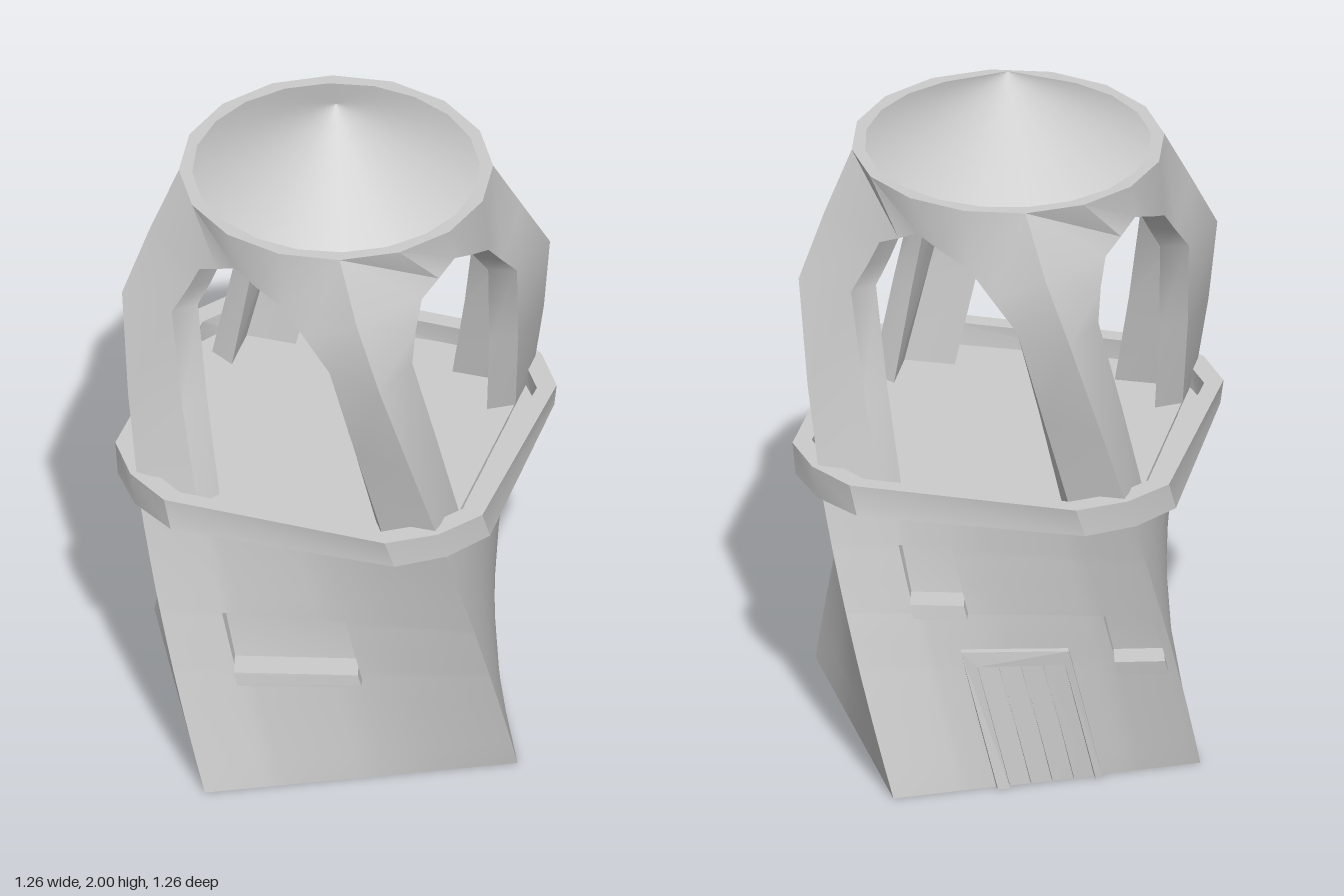
import * as THREE from 'three';
import { toCreasedNormals } from 'three/addons/utils/BufferGeometryUtils.js';

const H = 0.44;            // half width of the square tower
const DEG = Math.PI / 180;
const FLOOR = 0.87, SPRING = 1.44, TOP = 1.78;
const material = new THREE.MeshStandardMaterial({ color: 0xcccccc });

// Turns every vertex about the y axis by an amount that grows with height.
function twist(geo, side = 0) {
  geo.rotateY(side * Math.PI / 2);
  const p = geo.attributes.position;
  const v = new THREE.Vector3(), up = new THREE.Vector3(0, 1, 0);
  for (let i = 0; i < p.count; i++) {
    v.fromBufferAttribute(p, i);
    v.applyAxisAngle(up, (-29.6 - 29.7 * v.y) * DEG);
    p.setXYZ(i, v.x, v.y, v.z);
  }
  geo.computeVertexNormals();
  return geo;
}

function add(group, name, geo) {
  const mesh = new THREE.Mesh(geo, material);
  mesh.name = name;
  group.add(mesh);
}

function indexed(pos, idx) {
  const geo = new THREE.BufferGeometry();
  geo.setAttribute('position', new THREE.Float32BufferAttribute(pos, 3));
  geo.setIndex(idx);
  return geo;
}

// Box given by its limits, on the +z side before turning
function slab(x0, x1, y0, y1, z0, z1) {
  return new THREE.BoxGeometry(x1 - x0, y1 - y0, z1 - z0, 1, 4, 1)
    .translate((x0 + x1) / 2, (y0 + y1) / 2, (z0 + z1) / 2);
}

// One lower wall: a grid that leaves out the cells inside window openings
function wallGeometry(windows) {
  const height = 0.88;
  const xs = [-H, -H / 2, 0, H / 2, H], ys = [];
  for (let i = 0; i <= 10; i++) ys.push(height * i / 10);
  windows.forEach(([x0, x1, y0, y1]) => { xs.push(x0, x1); ys.push(y0, y1); });
  xs.sort((a, b) => a - b);
  ys.sort((a, b) => a - b);
  const pos = [], idx = [], n = xs.length;
  for (const y of ys) for (const x of xs) pos.push(x, y, H);
  for (let j = 0; j < ys.length - 1; j++) {
    for (let i = 0; i < n - 1; i++) {
      const cx = (xs[i] + xs[i + 1]) / 2, cy = (ys[j] + ys[j + 1]) / 2;
      if (windows.some(([x0, x1, y0, y1]) => cx > x0 && cx < x1 && cy > y0 && cy < y1)) continue;
      const a = j * n + i;
      idx.push(a, a + 1, a + n + 1, a, a + n + 1, a + n);
    }
  }
  return indexed(pos, idx);
}

// Window recess: a box turned inside out with its front left off
function nicheGeometry(x0, x1, y0, y1) {
  const depth = 0.045;
  const geo = new THREE.BoxGeometry(x1 - x0, y1 - y0, depth)
    .translate((x0 + x1) / 2, (y0 + y1) / 2, H - depth / 2);
  const idx = Array.from(geo.index.array);
  idx.splice(24, 6);
  geo.setIndex(idx.reverse());
  return geo;
}

// One side of the open storey, swept along the arch: each section joins a point
// on the outline to one on the arch, and the square blends to a circle on top
function arcadeGeometry() {
  const w = 0.27, mid = (FLOOR + SPRING) / 2;
  const half = [ // outline x, y, arch x, y
    [H, FLOOR, w, FLOOR], [H, mid, w, mid], [H, SPRING, w, SPRING], [H, 1.61, 0.22, 1.525],
    [H, TOP, 0.17, 1.605], [H / 2, TOP, 0.085, 1.64],
  ];
  const sections = [
    ...half.map(([a, b, c, d]) => [-a, b, -c, d]),
    [0, TOP, 0, 1.675],
    ...half.slice().reverse(),
  ];
  const pos = [], idx = [];
  const place = (x, y, depth) => {
    const b = THREE.MathUtils.clamp((y - SPRING) / (TOP - SPRING), 0, 1);
    const taper = 1 - 0.025 * THREE.MathUtils.clamp((y - FLOOR) / (SPRING - FLOOR), 0, 1);
    const a = x / H * Math.PI / 4, k = (H - depth) / H;
    pos.push(
      k * THREE.MathUtils.lerp(x * taper, 0.437 * Math.sin(a), b), y,
      k * THREE.MathUtils.lerp(H * taper, 0.437 * Math.cos(a), b));
  };
  sections.forEach(([ox, oy, ax, ay], i) => {
    place(ox, oy, 0);
    place(ax, ay, 0);
    place(ax, ay, 0.07);
    place(ox, oy, 0.07);
    if (i === 0) return;
    for (let j = 0; j < 4; j++) {
      const p = (i - 1) * 4 + j, q = (i - 1) * 4 + (j + 1) % 4;
      idx.push(p, q, q + 4, p, q + 4, p + 4);
    }
  });
  return indexed(pos, idx).toNonIndexed();
}

// Square with blunted corners, for the balcony
function bluntSquare(scale) {
  const pts = [];
  for (let c = 0; c < 4; c++) {
    for (const off of [-14, 0, 14]) {
      const a = (45 + 90 * c + off) * DEG, r = scale * (off ? 0.628 : 0.638);
      pts.push(new THREE.Vector2(r * Math.cos(a), r * Math.sin(a)));
    }
  }
  return pts;
}

function balconyGeometry(shape, y0, y1) {
  return twist(new THREE.ExtrudeGeometry(shape, { depth: y1 - y0, bevelEnabled: false })
    .rotateX(-Math.PI / 2).translate(0, y0, 0));
}

function addDoor(group, side) {
  const f = new THREE.Shape([[-0.145, 0], [-0.11, 0], [-0.11, 0.375], [0.135, 0.375],
    [0.135, 0], [0.155, 0], [0.155, 0.42], [-0.145, 0.42]].map(([x, y]) => new THREE.Vector2(x, y)));
  const frame = new THREE.ExtrudeGeometry(f, { depth: 0.035, bevelEnabled: false }).translate(0, 0, H - 0.015);
  add(group, 'doorFrame', twist(frame, side));
  for (let i = 0; i < 4; i++) {
    const x = -0.11 + i * 0.06125;
    add(group, 'doorPlank', twist(slab(x + 0.002, x + 0.059, 0.005, 0.375, H - 0.01, H + 0.014), side));
  }
}

export function createModel() {
  const model = new THREE.Group();
  model.name = 'twistedTower';

  // Window openings per side as [x0, x1, y0, y1]
  const windows = [
    [[-0.265, 0.08, 0.375, 0.545]],
    [],
    [[-0.25, -0.1, 0.56, 0.727], [0.275, 0.415, 0.38, 0.525]],
    [],
  ];

  windows.forEach((list, side) => {
    add(model, 'lowerWall', twist(wallGeometry(list), side));
    for (const [x0, x1, y0, y1] of list) {
      add(model, 'windowRecess', twist(nicheGeometry(x0, x1, y0, y1), side));
      add(model, 'windowSill', twist(slab(x0, x1, y0 - 0.03, y0 + 0.012, H - 0.04, H + 0.04), side));
    }
    add(model, 'archedSide', toCreasedNormals(twist(arcadeGeometry(), side), 0.6));
  });
  addDoor(model, 2);

  // Underside, balcony and roof
  add(model, 'base', twist(new THREE.PlaneGeometry(2 * H, 2 * H).rotateX(Math.PI / 2)));
  add(model, 'balconyFloor', balconyGeometry(new THREE.Shape(bluntSquare(0.95)), 0.852, FLOOR));
  const rim = new THREE.Shape(bluntSquare(1));
  rim.holes.push(new THREE.Path(bluntSquare(0.91).reverse()));
  add(model, 'balconyRim', toCreasedNormals(balconyGeometry(rim, 0.85, 0.935), 0.6));
  add(model, 'roof', new THREE.ConeGeometry(0.4, 2 - TOP, 20, 6).translate(0, (2 + TOP) / 2, 0));
  return model;
}
